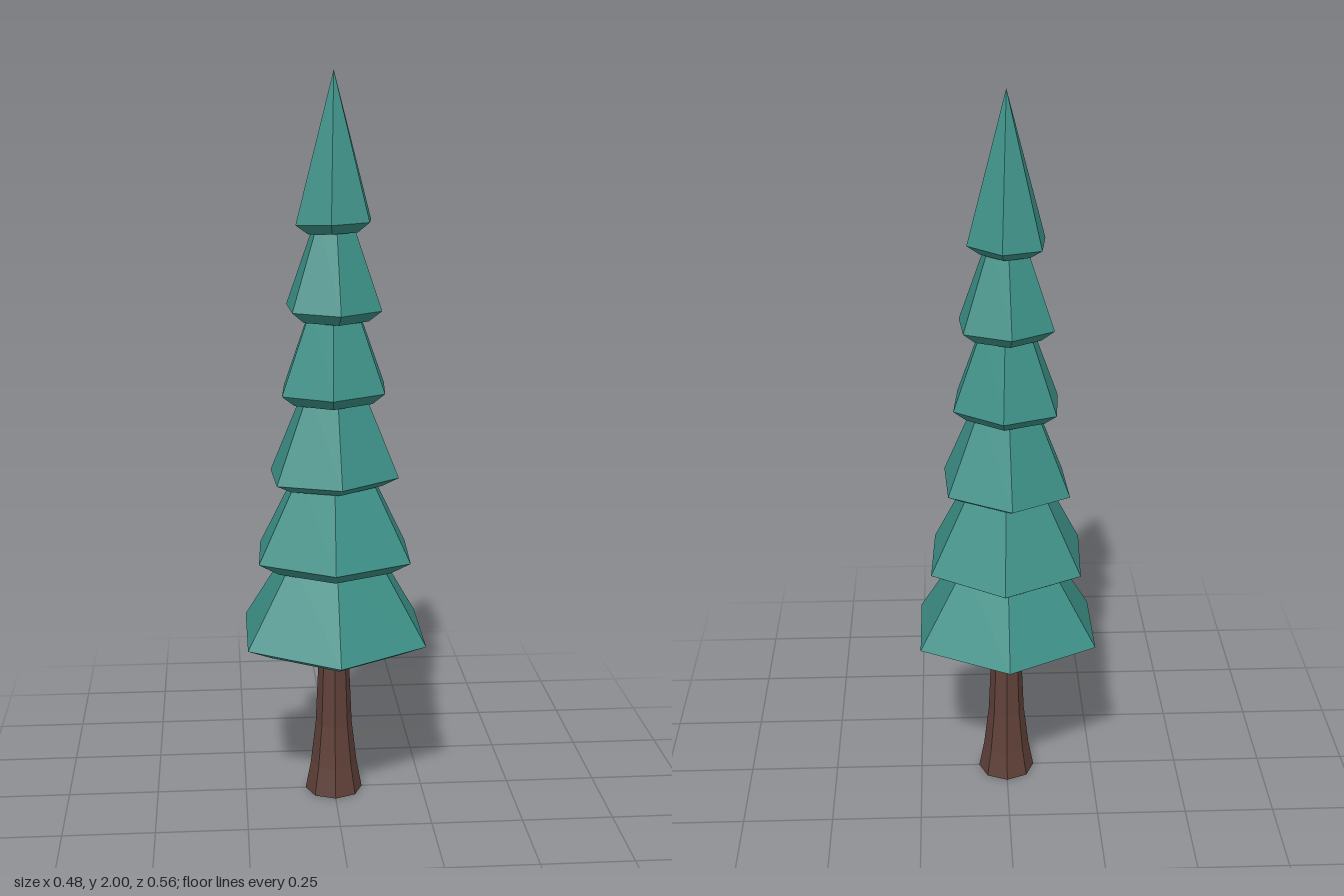
import * as THREE from 'three';

const foliage = new THREE.MeshStandardMaterial({ color: 0x3c9087, flatShading: true });
foliage.name = 'teal foliage';
const bark = new THREE.MeshStandardMaterial({ color: 0x5f4038, flatShading: true });
bark.name = 'brown bark';

const lathe = (points, sides) =>
  new THREE.LatheGeometry(points.map(([r, y]) => new THREE.Vector2(r, y)), sides);

// Six-sided skirt of branches: hollow underside, bevelled rim, sloping top, slightly tilted
function makeTier({ under, low, rim, top, spin, tiltX, tiltZ }) {
  const geometry = lathe([[0.03, under], low, rim, top], 6);
  geometry.rotateY(spin);
  const p = geometry.attributes.position;
  for (let i = 0; i < p.count; i++) {
    p.setY(i, p.getY(i) + tiltX * p.getX(i) + tiltZ * p.getZ(i));
  }
  geometry.computeVertexNormals();
  return new THREE.Mesh(geometry, foliage);
}

export function createModel() {
  const tree = new THREE.Group();
  tree.name = 'tree';

  // Trunk with flared foot, closed at the bottom
  const trunk = new THREE.Mesh(
    lathe([[0, 0], [0.08, 0], [0.065, 0.08], [0.051, 0.2], [0.041, 0.43], [0.036, 0.62]], 8), bark);
  trunk.name = 'trunk';
  tree.add(trunk);

  // Branch tiers from bottom to top; rings are [radius, height]
  const tiers = [
    { under: 0.56, low: [0.205, 0.438], rim: [0.28, 0.474], top: [0.137, 0.70], spin: 0, tiltX: 0, tiltZ: -0.04 },
    { under: 0.74, low: [0.175, 0.664], rim: [0.236, 0.70], top: [0.107, 0.94], spin: -0.045, tiltX: 0, tiltZ: 0.02 },
    { under: 0.96, low: [0.142, 0.90], rim: [0.19, 0.925], top: [0.083, 1.17], spin: 0.05, tiltX: 0.04, tiltZ: 0 },
    { under: 1.19, low: [0.12, 1.13], rim: [0.158, 1.16], top: [0.068, 1.39], spin: -0.08, tiltX: 0.03, tiltZ: -0.01 },
    { under: 1.41, low: [0.1, 1.352], rim: [0.138, 1.382], top: [0.05, 1.62], spin: 0.07, tiltX: 0, tiltZ: -0.03 },
    { under: 1.64, low: [0.075, 1.582], rim: [0.112, 1.608], top: [0, 2], spin: -0.125, tiltX: 0.04, tiltZ: 0.03 },
  ];
  tiers.forEach((spec, i) => {
    const tier = makeTier(spec);
    tier.name = `branchTier${i + 1}`;
    tree.add(tier);
  });
  return tree;
}
